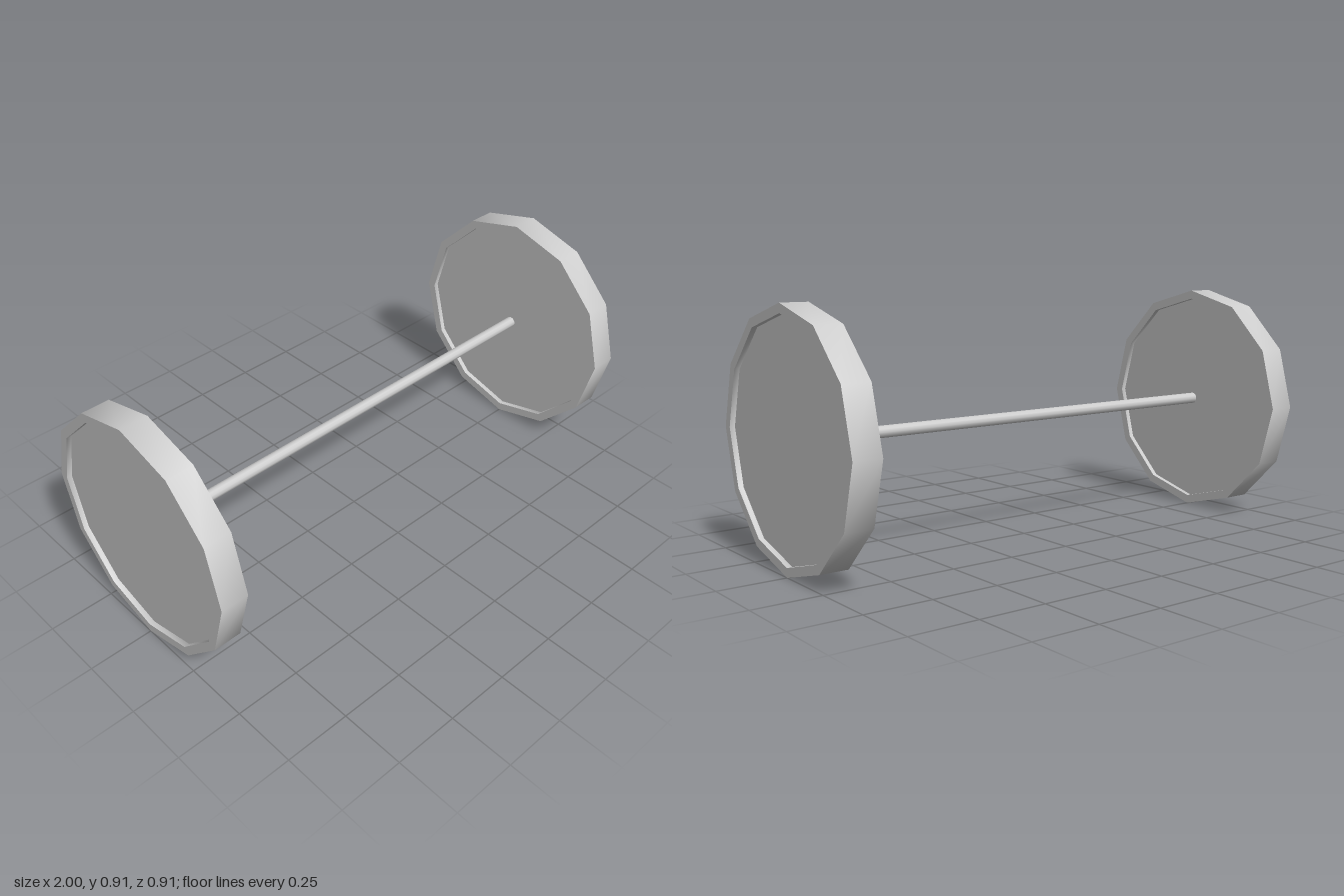
import * as THREE from 'three';
import { toCreasedNormals } from 'three/addons/utils/BufferGeometryUtils.js';

const R = 0.457;        // wheel radius
const RIM = 0.423;      // inner radius of the raised rim
const HALF = 0.053;     // half the wheel width
const RECESS = 0.02;    // depth of the sunken faces
const SIDES = 12;

export function createModel() {
  const model = new THREE.Group();
  model.name = 'wheelAxle';
  const material = new THREE.MeshStandardMaterial({ color: 0xcccccc });

  // Wheel: solid disc with a raised rim on both faces, spun about the x axis
  const profile = [
    [0, RECESS - HALF], [RIM, RECESS - HALF], [RIM, -HALF], [R, -HALF],
    [R, HALF], [RIM, HALF], [RIM, HALF - RECESS], [0, HALF - RECESS],
  ].map(([r, h]) => new THREE.Vector2(r, h));
  const wheelGeometry = toCreasedNormals(
    new THREE.LatheGeometry(profile, SIDES).rotateZ(Math.PI / 2), 0.6);

  for (const [name, side] of [['leftWheel', 1], ['rightWheel', -1]]) {
    const wheel = new THREE.Mesh(wheelGeometry, material);
    wheel.name = name;
    wheel.position.set(side * (1 - HALF), R, 0);
    model.add(wheel);
  }

  // Axle: thin rod ending inside the two discs
  const axleLength = 2 * (1 - HALF);
  const axle = new THREE.Mesh(
    new THREE.CylinderGeometry(0.022, 0.022, axleLength, SIDES).rotateZ(Math.PI / 2), material);
  axle.name = 'axle';
  axle.position.y = R;
  model.add(axle);

  return model;
}
